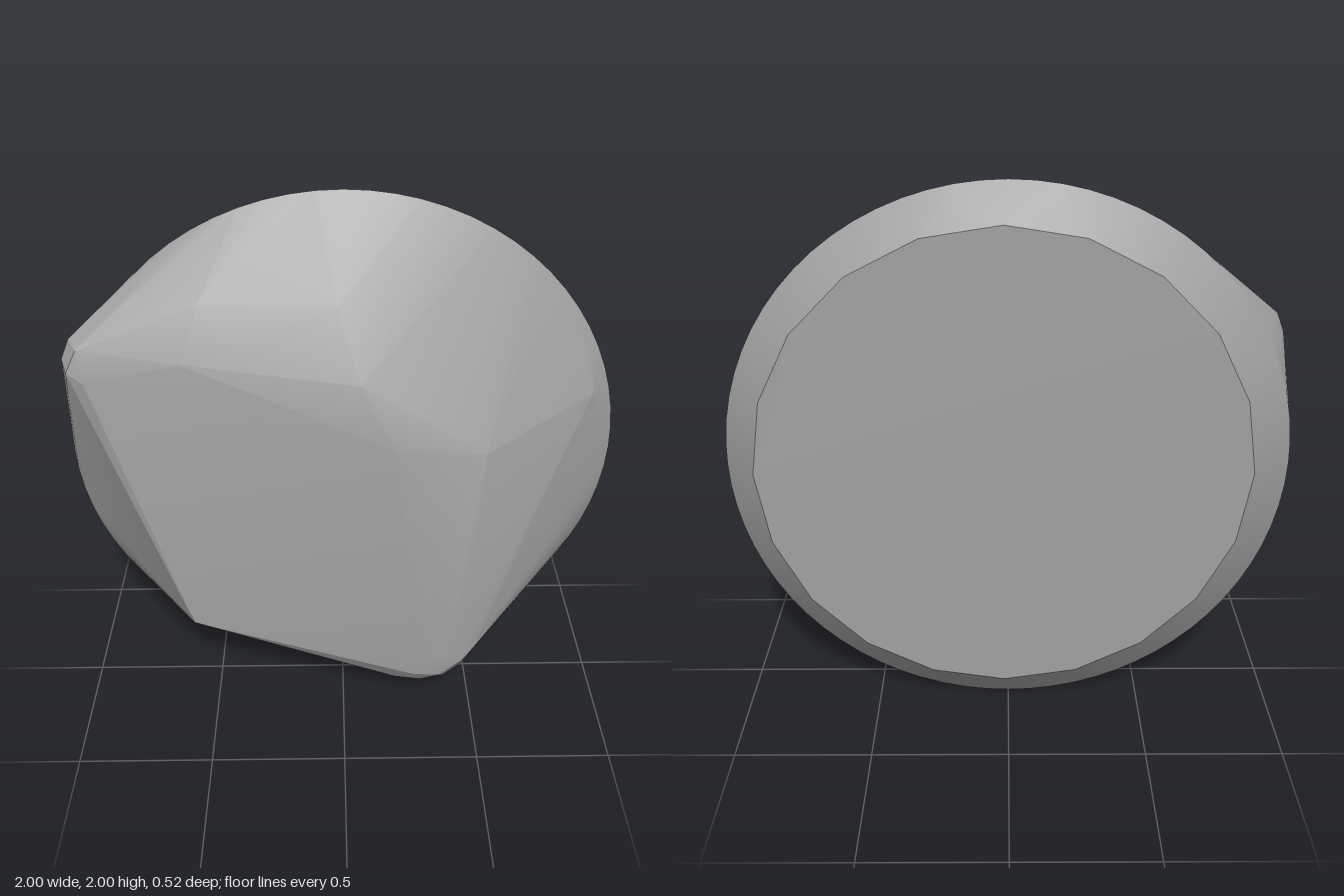
import * as THREE from 'three';
import { ConvexGeometry } from 'three/addons/geometries/ConvexGeometry.js';
import { toCreasedNormals } from 'three/addons/utils/BufferGeometryUtils.js';

// Tilted ring of points facing z
function ring(radius, cx, cy, count, depth) {
  return Array.from({ length: count }, (_, i) => {
    const a = (i / count) * Math.PI * 2;
    const y = cy + radius * Math.sin(a);
    return new THREE.Vector3(cx + radius * Math.cos(a), y, depth(y));
  });
}

export function createModel() {
  const stone = new THREE.MeshStandardMaterial({ color: 0xa0a0a0 });
  stone.name = 'stone grey';

  // Corners of the worn front
  const front = [
    // flat face
    [-0.57, 0.39, 0.165], [0.18, 1.19, 0.212], [0.06, 1.42, 0.165],
    [-0.54, 1.48, 0.118], [0.5, 1.15, 0.165], [0.89, 1.28, -0.03],
    // upper slope
    [-0.48, 1.66, 0.045], [-0.02, 1.66, 0.07],
    // blunt upper tip
    [-0.88, 1.39, 0.085], [-0.94, 1.42, 0.06], [-0.96, 1.45, 0.01],
    [-0.93, 1.52, 0], [-0.9, 1.5, 0.05],
    // rounded lower bulge
    [0.3, 0.27, 0.257], [0.4, 0.27, 0.252], [0.27, 0.19, 0.25],
    [0.37, 0.18, 0.245], [0.45, 0.24, 0.233], [0.5, 0.28, 0.205],
    [0.2, 0.135, 0.205], [0.3, 0.125, 0.212], [0.39, 0.145, 0.21],
    [0.46, 0.2, 0.2], [0.28, 0.075, 0.12],
  ].map((p) => new THREE.Vector3(...p));

  // Round rim and smaller flat back
  const rim = ring(1, 0, 1, 72, (y) => -0.13 + 0.015 * y);
  const back = ring(0.865, 0.015, 1.02, 20, (y) => -0.26 + 0.017 * (y - 0.15));

  const hull = new ConvexGeometry([...front, ...rim, ...back]);
  const body = new THREE.Mesh(toCreasedNormals(hull, 0.3), stone);
  body.name = 'stoneBody';

  const group = new THREE.Group();
  group.name = 'stone';
  group.add(body);
  return group;
}
